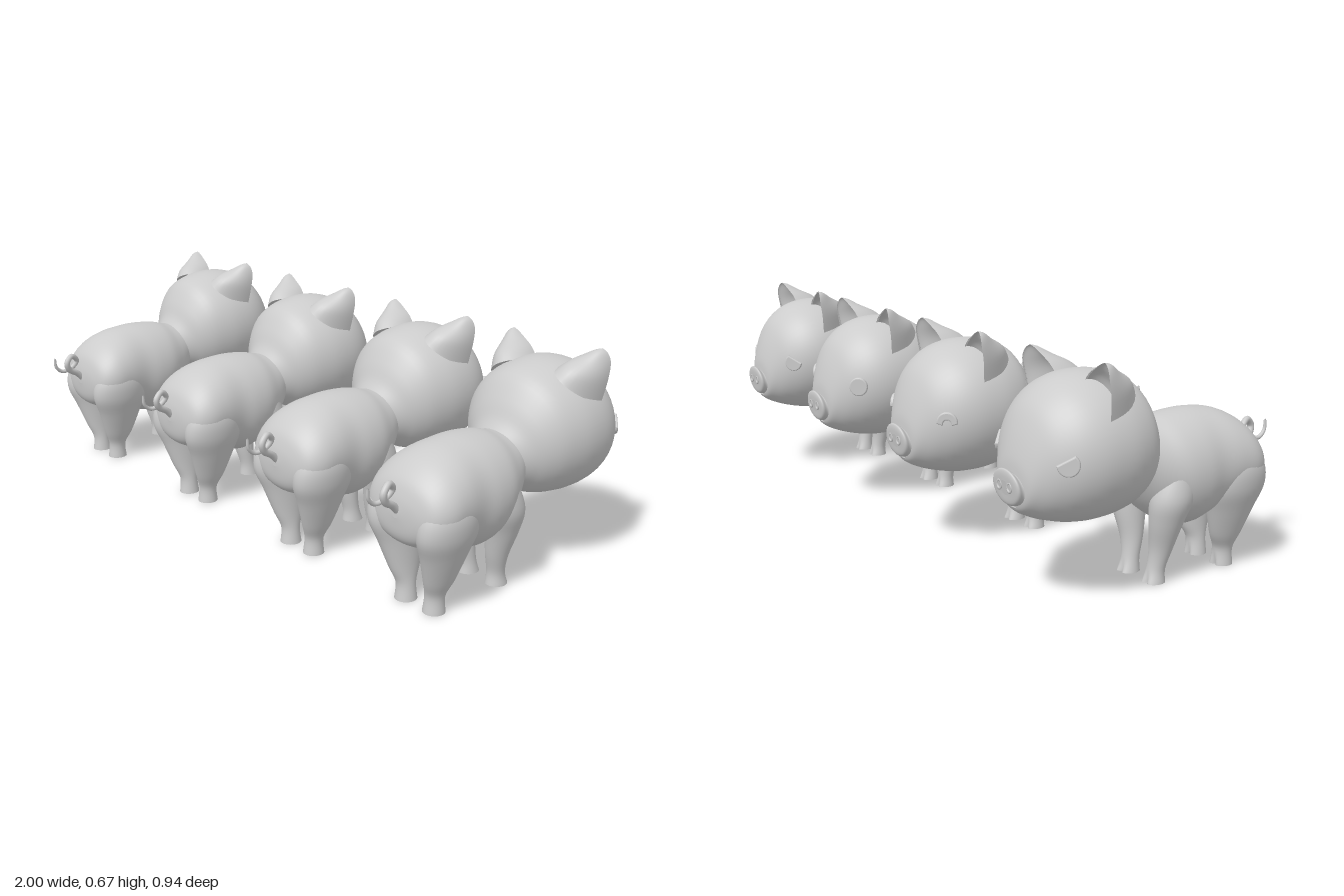
import * as THREE from 'three';

const material = new THREE.MeshStandardMaterial({ color: 0xcccccc });

// Catmull-Rom blend of key rows, sampled `steps` times per span
function smoothRows(rows, steps) {
  const out = [], last = rows.length - 1;
  for (let i = 0; i < last; i++) {
    const [a, b, c, d] = [i - 1, i, i + 1, i + 2].map(k => rows[Math.min(last, Math.max(0, k))]);
    for (let s = 0; s < steps; s++) {
      const t = s / steps;
      out.push(b.map((v, k) => v + 0.5 * t * (c[k] - a[k] +
        t * (2 * a[k] - 5 * v + 4 * c[k] - d[k] + t * (3 * (v - c[k]) + d[k] - a[k])))));
    }
  }
  out.push(rows[last]);
  return out;
}

// Skin closed rings through the rows; ringPoint(row, angle) gives [x, y, z]
function loft(rows, steps, sides, ringPoint) {
  const sections = smoothRows(rows, steps), pos = [], idx = [];
  for (const row of sections)
    for (let j = 0; j < sides; j++) pos.push(...ringPoint(row, j / sides * Math.PI * 2));
  const n = sections.length;
  for (let i = 0; i < n - 1; i++)
    for (let j = 0; j < sides; j++) {
      const k = (j + 1) % sides, a = i * sides + j, b = i * sides + k;
      idx.push(a, b, b + sides, a, b + sides, a + sides);
    }
  // end caps with their own vertices keep a crisp rim
  for (const [ring, flip] of [[0, true], [n - 1, false]]) {
    const start = pos.length / 3;
    const rim = pos.slice(ring * sides * 3, (ring + 1) * sides * 3);
    const centre = [0, 0, 0];
    rim.forEach((v, k) => { centre[k % 3] += v / sides; });
    pos.push(...rim, ...centre);
    for (let j = 0; j < sides; j++) {
      const a = start + j, b = start + (j + 1) % sides;
      idx.push(...(flip ? [b, a] : [a, b]), start + sides);
    }
  }
  // turn all faces outward
  const p = k => new THREE.Vector3().fromArray(pos, k * 3);
  let volume = 0;
  for (let i = 0; i < idx.length; i += 3) volume += p(idx[i]).dot(p(idx[i + 1]).cross(p(idx[i + 2])));
  if (volume < 0) idx.reverse();
  const g = new THREE.BufferGeometry();
  g.setAttribute('position', new THREE.Float32BufferAttribute(pos, 3));
  g.setIndex(idx);
  g.computeVertexNormals();
  return g;
}

// Rows: top z, top y, bottom z, bottom y, half width
const slantedRing = ([zt, yt, zb, yb, w], a) => {
  const c = Math.cos(a) / 2;
  return [w * Math.sin(a), (yt + yb) / 2 + c * (yt - yb), (zt + zb) / 2 + c * (zt - zb)];
};
const BODY = [
  [.372, .31, .372, .29, .01], [.365, .35, .365, .24, .08], [.345, .395, .345, .21, .125],
  [.30, .435, .30, .19, .15], [.24, .46, .24, .18, .152], [.17, .47, .18, .155, .147],
  [.11, .47, .12, .14, .152], [.05, .463, .06, .155, .145], [.01, .452, -.015, .205, .12],
  [-.012, .447, -.065, .268, .10]];
const HEAD = [
  [-.012, .447, -.065, .268, .10], [-.03, .475, -.085, .258, .12], [-.055, .53, -.11, .243, .15],
  [-.10, .59, -.145, .23, .18], [-.17, .616, -.20, .222, .20], [-.24, .622, -.25, .22, .203],
  [-.30, .612, -.30, .224, .195], [-.35, .588, -.35, .235, .173], [-.395, .545, -.39, .248, .138],
  [-.425, .485, -.42, .262, .10], [-.445, .42, -.438, .275, .07], [-.45, .38, -.445, .29, .045]];
const SNOUT = [
  [-.42, .41, -.415, .275, .08], [-.447, .378, -.44, .288, .056], [-.468, .391, -.455, .291, .058],
  [-.473, .38, -.462, .30, .048], [-.472, .36, -.465, .32, .02]];

// Leg rows: y, centre x, centre z, radius x, radius z; the hoof is notched in front
const REAR_LEG = [
  [0, .053, .265, .032, .033], [.05, .055, .265, .028, .03], [.1, .066, .262, .037, .052],
  [.18, .08, .262, .052, .08], [.25, .09, .264, .064, .104], [.32, .088, .265, .062, .09],
  [.4, .07, .26, .03, .04]];
const FRONT_LEG = [
  [0, .053, .003, .031, .034], [.04, .054, .009, .027, .026], [.1, .062, .018, .034, .033],
  [.18, .077, .02, .047, .05], [.25, .087, .03, .056, .064], [.33, .082, .05, .05, .055]];
const legRing = side => ([y, cx, cz, rx, rz], a) => {
  const cleft = 1 - 0.35 * Math.max(0, 1 - y / 0.035) * Math.exp(-(((a - Math.PI) / 0.22) ** 2));
  return [side * (cx + rx * Math.sin(a)), y, cz + rz * Math.cos(a) * cleft];
};

// Ear rows: inner front corner, outer front corner, back ridge
const EAR = [
  [.05, .59, -.262, .172, .51, -.268, .115, .585, -.15],
  [.08, .625, -.268, .183, .58, -.277, .13, .612, -.175],
  [.115, .648, -.273, .183, .628, -.284, .145, .638, -.222],
  [.138, .661, -.276, .173, .655, -.282, .155, .66, -.255],
  [.155, .667, -.278, .157, .667, -.278, .156, .667, -.276]];
const earRing = side => (r, a) => {
  const s = Math.sin(a), back = s > 0 ? s : -0.35 * s;
  const p = [0, 1, 2].map(k => {
    const mid = (r[k] + r[k + 3]) / 2;
    return mid + Math.cos(a) * (r[k + 3] - r[k]) / 2 + back * (r[k + 6] - mid);
  });
  p[0] *= side;
  return p;
};

// Curled tail that narrows toward the tip
function tailGeometry() {
  const points = [[0, .30, .355], [.002, .33, .385], [.008, .35, .418], [.012, .376, .429],
    [.008, .398, .407], [0, .376, .383], [-.008, .35, .402], [-.014, .343, .435],
    [-.014, .362, .458], [-.012, .396, .463]];
  const curve = new THREE.CatmullRomCurve3(points.map(p => new THREE.Vector3(...p)));
  const g = new THREE.TubeGeometry(curve, 60, .01, 10), pos = g.attributes.position;
  const v = new THREE.Vector3();
  for (let i = 0; i < pos.count; i++) {
    const t = Math.floor(i / 11) / 60, c = curve.getPointAt(t);
    v.fromBufferAttribute(pos, i).sub(c).multiplyScalar(1.1 - 0.7 * t ** 2).add(c);
    if (t === 1) v.copy(c);
    pos.setXYZ(i, v.x, v.y, v.z);
  }
  return g;
}

// Eye outlines: slanted lids are a disc cut by a chord, the happy eye is an arch
const LIDS = { sad: [190, 410], angry: [130, 350], round: [0, 360] };
function eyeGeometry(mood, side) {
  const shape = new THREE.Shape(), rad = THREE.MathUtils.degToRad;
  if (mood === 'happy') {
    shape.absarc(0, -.008, .027, 0, Math.PI, false);
    shape.absarc(0, -.012, .016, Math.PI, 0, true);
  } else {
    const [a, b] = LIDS[mood];
    if (side > 0) shape.absarc(0, 0, .026, rad(a), rad(b), false);
    else shape.absarc(0, 0, .026, rad(180 - b), rad(180 - a), false);
  }
  return new THREE.ExtrudeGeometry(shape, {
    depth: .016, bevelThickness: .004, bevelSize: .004, bevelSegments: 3, curveSegments: 24 });
}

function createPig(mood, shared) {
  const pig = new THREE.Group();
  const add = (name, geometry) => {
    const mesh = new THREE.Mesh(geometry, material);
    mesh.name = name;
    pig.add(mesh);
    return mesh;
  };
  for (const [name, geometry] of shared) add(name, geometry);
  const mouth = add('mouth', new THREE.SphereGeometry(1, 20, 12));
  mouth.scale.set(.034, .008, .022);
  mouth.position.set(0, .281, -.424);
  mouth.rotation.x = .25;
  for (const side of [1, -1]) {
    const label = side > 0 ? 'left' : 'right';
    const eye = add(label + 'Eye', eyeGeometry(mood, side));
    eye.position.set(side * .14, .42, -.372);
    eye.lookAt(side * 1.14, .42, -1.26);
    const nostril = add(label + 'Nostril', new THREE.TorusGeometry(.009, .003, 8, 16));
    nostril.position.set(side * .022, .345, -.469);
    nostril.scale.y = 1.3;
  }
  return pig;
}

export function createModel() {
  const model = new THREE.Group();
  model.name = 'pigRow';
  const shared = [
    ['body', loft(BODY, 5, 48, slantedRing)],
    ['head', loft(HEAD, 4, 48, slantedRing)],
    ['snout', loft(SNOUT, 4, 32, slantedRing)],
    ['tail', tailGeometry()]];
  for (const side of [1, -1]) {
    const label = side > 0 ? 'left' : 'right';
    shared.push(
      [label + 'RearLeg', loft(REAR_LEG, 5, 32, legRing(side))],
      [label + 'FrontLeg', loft(FRONT_LEG, 5, 32, legRing(side))],
      [label + 'Ear', loft(EAR, 5, 32, earRing(side))]);
  }
  // four pigs in a row, each with its own expression
  [['angry', -.797], ['happy', -.235], ['round', .302], ['sad', .797]].forEach(([mood, x]) => {
    const pig = createPig(mood, shared);
    pig.name = mood + 'Pig';
    pig.position.x = x;
    model.add(pig);
  });
  return model;
}
